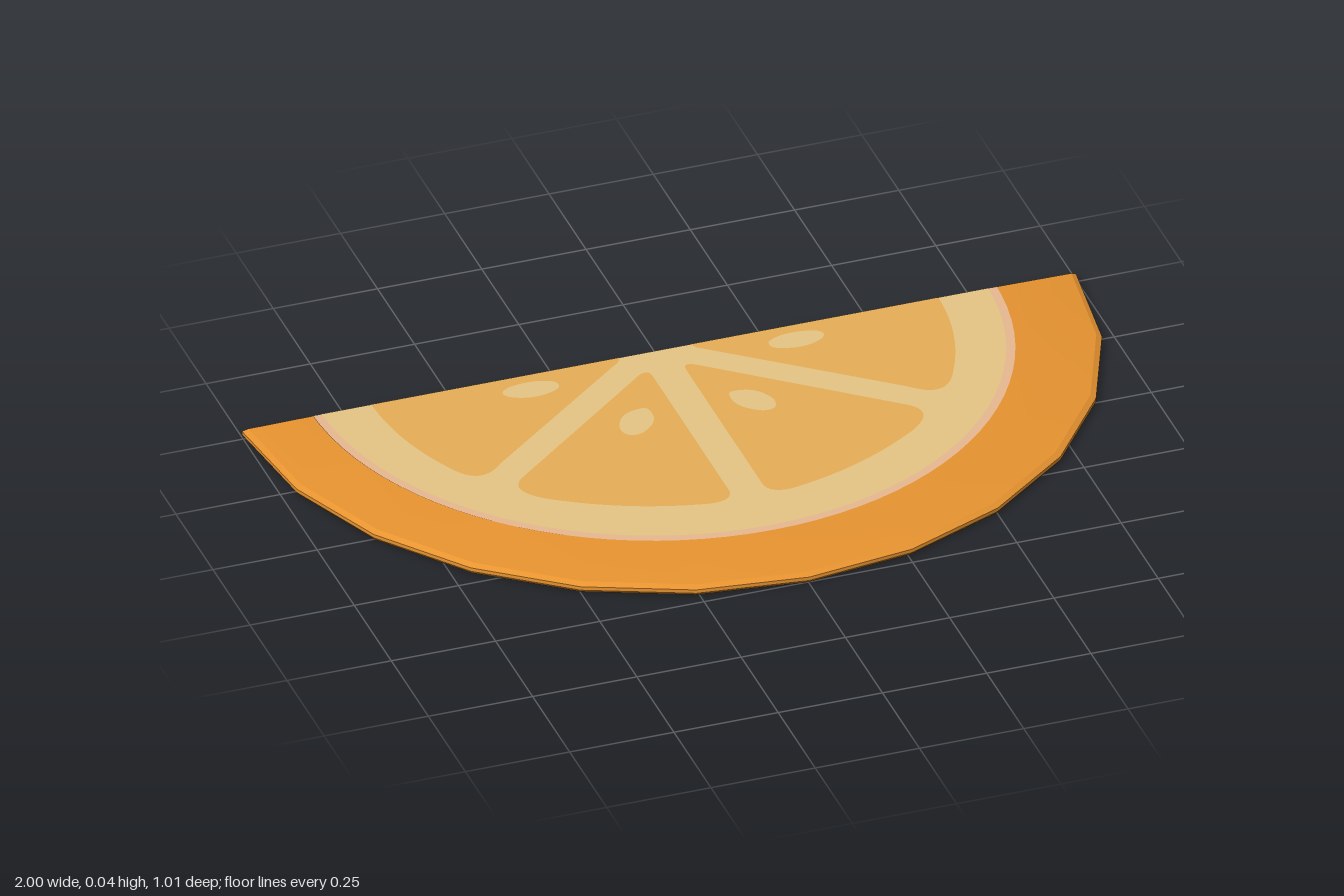
import * as THREE from 'three';
import { toCreasedNormals } from 'three/addons/utils/BufferGeometryUtils.js';

const CUT = -0.495;    // z of the straight cut
const MID = -0.02;     // x of the flesh centre
const UNDER = 0.003;   // clearance of the underside paint below the sloping rind
// bottom to top: height, z of the cut edge, scale of the rind outline
const LEVELS = [
  { y: 0, back: -0.504, r: 0.995 },
  { y: 0.007, back: -0.508, r: 1 },
  { y: 0.016, back: -0.508, r: 1 },
  { y: 0.023, back: -0.503, r: 0.987 },
  { y: 0.04, back: -0.48, r: 0.82 },
];
const TOP = LEVELS.length - 1;

const mat = (name, color) =>
  Object.assign(new THREE.MeshStandardMaterial({ color, side: THREE.DoubleSide }), { name });

// Builds an open-bottomed shell from a shape drawn as x, -z.
// Painted layers (lift above 0) get an outer and an inner sheet of top and cut faces only.
function shell(name, shape, material, lift = 0) {
  const isRind = lift === 0;
  const geo = new THREE.ExtrudeGeometry(shape, { depth: TOP, steps: TOP, bevelEnabled: false, curveSegments: 24 });
  geo.rotateX(-Math.PI / 2);
  const p = geo.attributes.position;
  const kept = [];
  for (const offset of isRind ? [0] : [lift, -lift]) {
    const topOffset = offset < 0 ? offset - UNDER : offset;
    for (let i = 0; i < p.count; i += 3) {
      const corners = [];
      let cutCorners = 0, topCorners = 0, bottomCorners = 0;
      for (let j = i; j < i + 3; j++) {
        const k = Math.round(p.getY(j));
        const { y, back, r } = LEVELS[k];
        const scale = isRind ? r : 1;
        const onCut = p.getZ(j) < CUT + 0.001;
        if (onCut) cutCorners++;
        if (k === TOP) topCorners++;
        if (k === 0) bottomCorners++;
        const z = onCut ? back - offset : Math.max(CUT + (p.getZ(j) - CUT) * scale, back - offset);
        corners.push(p.getX(j) * scale, y + (k === TOP ? topOffset : 0), z);
      }
      const visible = isRind || topCorners === 3 || cutCorners === 3;
      if (visible && bottomCorners < 3) kept.push(...corners);
    }
  }
  const faces = new THREE.BufferGeometry();
  faces.setAttribute('position', new THREE.Float32BufferAttribute(kept, 3));
  const mesh = new THREE.Mesh(toCreasedNormals(faces, 0.35), material);
  mesh.name = name;
  return mesh;
}

// Half disc in front of the cut
function halfDisc(radius, centreX, segments) {
  const pts = [];
  for (let i = 0; i <= segments; i++) {
    const a = (i / segments) * Math.PI;
    pts.push(new THREE.Vector2(centreX + radius * Math.cos(a), -CUT - radius * Math.sin(a)));
  }
  return new THREE.Shape(pts);
}

// Outline from [x, z] line points or [control x, control z, x, z] curves, mirrored by side
function outline(side, steps) {
  const s = new THREE.Shape();
  const X = (u) => MID + side * u;
  steps.forEach((c, i) => {
    if (i === 0) s.moveTo(X(c[0]), -c[1]);
    else if (c.length === 2) s.lineTo(X(c[0]), -c[1]);
    else s.quadraticCurveTo(X(c[0]), -c[1], X(c[2]), -c[3]);
  });
  return s;
}

const FRONT_SEGMENT = [
  [0.04, -0.38], [0.04, 0.13], [0.04, 0.178, 0.1, 0.173],
  [0.284, 0.14, 0.44, 0.03], [0.515, -0.03, 0.46, -0.075],
  [0.08, -0.385], [0.04, -0.42, 0.04, -0.38],
];
const SIDE_SEGMENT = [
  [0.68, CUT], [0.68, -0.32, 0.605, -0.17], [0.56, -0.07, 0.49, -0.145],
  [0.11, -0.45], [0.08, -0.47, 0.085, CUT],
];
const FRONT_SEED = [
  [0.11, -0.26], [0.17, -0.26, 0.185, -0.195], [0.185, -0.15, 0.145, -0.16],
  [0.09, -0.19, 0.095, -0.24], [0.095, -0.26, 0.11, -0.26],
];
const SIDE_SEED = [
  [0.255, -0.43], [0.29, -0.46, 0.36, -0.445], [0.4, -0.43, 0.375, -0.405],
  [0.33, -0.375, 0.275, -0.395], [0.245, -0.405, 0.255, -0.43],
];

export function createModel() {
  const rind = mat('rind orange', 0xffa336);
  const blush = mat('pink edge', 0xffcca0);
  const pith = mat('pale pith', 0xffdb93);
  const flesh = mat('flesh orange', 0xffc262);

  const group = new THREE.Group();
  group.name = 'orangeSlice';

  // Low-poly rind and the two rings inside it
  group.add(shell('rind', halfDisc(1, 0, 12), rind));
  group.add(shell('pithEdge', halfDisc(0.82, MID, 48), blush, 0.0003));
  group.add(shell('pith', halfDisc(0.799, MID, 48), pith, 0.0006));

  // Flesh segments and seeds, mirrored about the centre
  for (const [side, label] of [[1, 'left'], [-1, 'right']]) {
    group.add(shell(label + 'FrontSegment', outline(side, FRONT_SEGMENT), flesh, 0.0009));
    group.add(shell(label + 'SideSegment', outline(side, SIDE_SEGMENT), flesh, 0.0009));
    group.add(shell(label + 'FrontSeed', outline(side, FRONT_SEED), pith, 0.0012));
    group.add(shell(label + 'SideSeed', outline(side, SIDE_SEED), pith, 0.0012));
  }
  return group;
}
